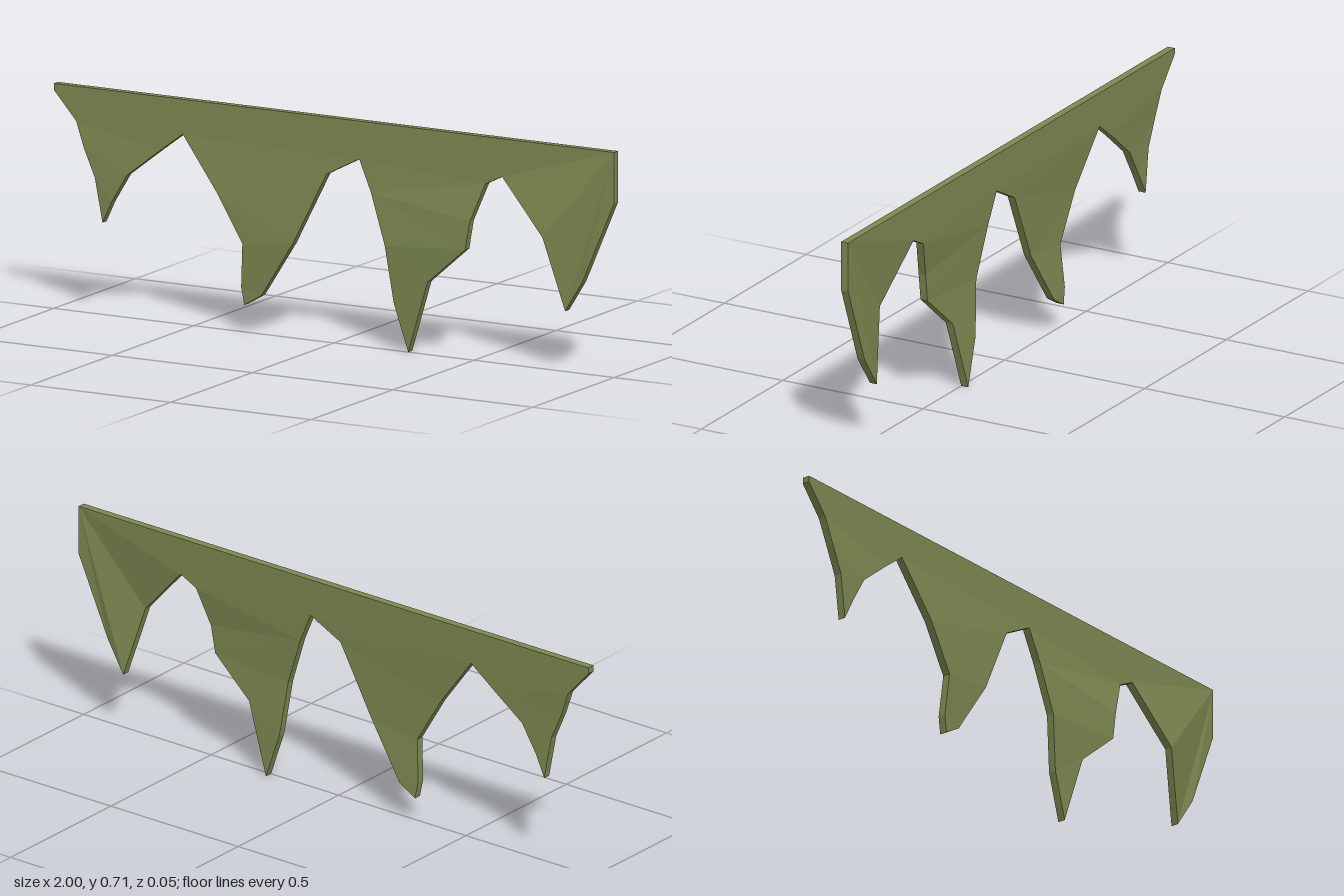
import * as THREE from 'three';

const THICK = 0.025;

// Each tooth: left and right edges from the valley down to the tip, as [x, y, bulge forward]
const teeth = [
  {
    left: [[-0.92, 0.6, 0], [-0.89, 0.52, 0.005], [-0.85, 0.43, 0.006], [-0.825, 0.29, 0.002]],
    right: [[-0.54, 0.6, 0], [-0.62, 0.54, 0], [-0.735, 0.45, 0.006], [-0.79, 0.36, 0.006]],
  },
  {
    left: [[-0.54, 0.6, 0], [-0.41, 0.43, 0.012], [-0.32, 0.28, 0.012], [-0.33, 0.14, 0.002], [-0.32, 0.085, 0]],
    right: [[-0.025, 0.53, 0.003], [-0.14, 0.3, 0.012], [-0.26, 0.12, 0]],
  },
  {
    left: [[0.09, 0.59, 0], [0.135, 0.49, 0.005], [0.19, 0.33, 0.015], [0.215, 0.15, 0.003], [0.265, 0, 0]],
    right: [[0.54, 0.56, 0], [0.495, 0.44, 0.018], [0.48, 0.35, 0.02], [0.34, 0.23, 0.011]],
  },
  {
    // the last tooth fans out from the top corner
    left: [[0.6, 0.59, 0], [0.76, 0.42, 0.027], [0.825, 0.19, 0], [0.89, 0.29, 0.006], [1, 0.55, 0]],
    right: [[1, 0.71, 0]],
  },
];

// Facets between the two edges of a tooth, always stepping to the higher next point
function zip({ left, right }) {
  const tris = [];
  let i = 0, j = 0;
  while (i < left.length - 1 || j < right.length - 1) {
    const l = left[i + 1], r = right[j + 1];
    if (!r || (l && l[1] >= r[1])) {
      tris.push([left[i], l, right[j]]);
      i++;
    } else {
      tris.push([left[i], r, right[j]]);
      j++;
    }
  }
  return tris;
}

// Top band between the teeth and the straight upper edge
function bandFacets() {
  const [a, b, c, d] = teeth;
  const ring = [[-1, 0.71, 0], [-1, 0.69, 0], a.left[0], b.left[0], b.right[0],
    c.left[0], c.right[0], d.left[0], [1, 0.71, 0]];
  const flat = ring.map(([x, y]) => new THREE.Vector2(x, y));
  return THREE.ShapeUtils.triangulateShape(flat, []).map((t) => t.map((k) => ring[k]));
}

// Whole outline, counter-clockwise from the top left corner
function outline() {
  const pts = [[-1, 0.71, 0], [-1, 0.69, 0]];
  teeth.forEach(({ left, right }) => pts.push(...left, ...[...right].reverse()));
  return pts.filter((p, k) => k === 0 || p[0] !== pts[k - 1][0] || p[1] !== pts[k - 1][1]);
}

function buildMesh(name, triangles, material) {
  const geo = new THREE.BufferGeometry();
  geo.setAttribute('position', new THREE.Float32BufferAttribute(triangles.flat(2), 3));
  geo.computeVertexNormals();
  const mesh = new THREE.Mesh(geo, material);
  mesh.name = name;
  return mesh;
}

export function createModel() {
  const group = new THREE.Group();
  group.name = 'hangingMoss';
  const moss = new THREE.MeshStandardMaterial({ color: 0x7c8850 });
  moss.name = 'moss green';

  const back = ([x, y, z]) => [x, y, z - THICK];
  // Front and back sheets of a patch
  const addSheet = (name, tris) => {
    const front = tris.map(([a, b, c]) => {
      const area = (b[0] - a[0]) * (c[1] - a[1]) - (c[0] - a[0]) * (b[1] - a[1]);
      return area > 0 ? [a, b, c] : [a, c, b];
    });
    const rear = front.map(([a, b, c]) => [back(a), back(c), back(b)]);
    group.add(buildMesh(name, [...front, ...rear], moss));
  };

  addSheet('topBand', bandFacets());
  teeth.forEach((tooth, k) => addSheet('hangingPoint' + (k + 1), zip(tooth)));

  // Narrow rim around the outline
  const pts = outline();
  const rim = pts.flatMap((p, k) => {
    const q = pts[(k + 1) % pts.length];
    return [[p, back(p), back(q)], [p, back(q), q]];
  });
  group.add(buildMesh('rim', rim, moss));
  return group;
}
